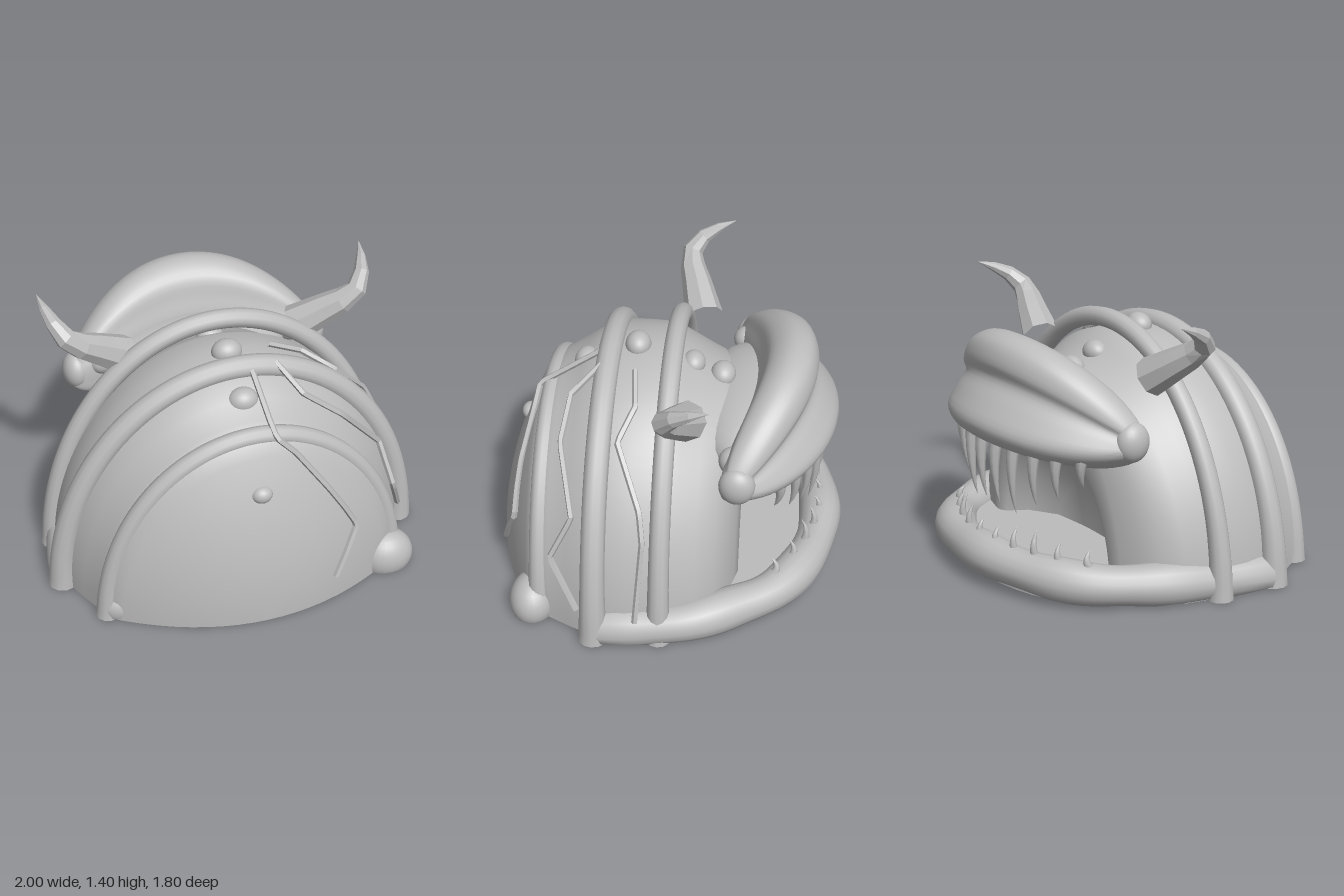
import * as THREE from 'three';
import { toCreasedNormals } from 'three/addons/utils/BufferGeometryUtils.js';

const V = (x, y, z) => new THREE.Vector3(x, y, z);
const vecs = (list) => list.map((p) => V(...p));

// Skin over a list of closed rings with equal point counts
function loft(rings, crease = 1) {
  const n = rings[0].length, pos = [], idx = [];
  rings.forEach((r) => r.forEach((p) => pos.push(p.x, p.y, p.z)));
  for (let i = 0; i < rings.length - 1; i++) {
    for (let j = 0; j < n; j++) {
      const a = i * n + j, b = i * n + (j + 1) % n;
      idx.push(a, a + n, b, b, a + n, b + n);
    }
  }
  const g = new THREE.BufferGeometry();
  g.setAttribute('position', new THREE.Float32BufferAttribute(pos, 3));
  g.setIndex(idx);
  return toCreasedNormals(g, crease);
}

// Tube whose radius follows radius(t); nothing goes below the ground
function taper(curve, radius, segs, sides, crease = 1) {
  const g = new THREE.TubeGeometry(curve, segs, 1, sides);
  const pos = g.attributes.position, v = V();
  for (let k = 0; k < pos.count; k++) {
    const t = Math.floor(k / (sides + 1)) / segs, c = curve.getPointAt(t);
    v.fromBufferAttribute(pos, k).sub(c).multiplyScalar(radius(t)).add(c);
    pos.setXYZ(k, v.x, Math.max(0, v.y), v.z);
  }
  return toCreasedNormals(g, crease);
}

// Ellipsoid cut off at the ground
function blob(x, y, z, rx, ry = rx, rz = rx) {
  const g = new THREE.SphereGeometry(1, 24, 16);
  g.scale(rx, ry, rz).translate(x, y, z);
  const pos = g.attributes.position;
  for (let k = 0; k < pos.count; k++) pos.setY(k, Math.max(0, pos.getY(k)));
  return g;
}

export function createModel() {
  const skin = new THREE.MeshStandardMaterial({ color: 0xbcbcbc });
  skin.name = 'grey skin';
  const model = new THREE.Group();
  model.name = 'hornedCreature';
  const add = (name, geo) => {
    const m = new THREE.Mesh(geo, skin);
    m.name = name;
    model.add(m);
  };

  // Domed body: half-ellipse sections [z, half width, height], ending in a hollow throat
  const sections = [];
  for (let i = 0; i <= 10; i++) {
    const s = i / 10;
    sections.push([0.9 - 0.26 * s * s, 0.78 * s, 0.97 * s]);
  }
  sections.push(
    [0.56, 0.8, 1.0], [0.46, 0.85, 1.07], [0.37, 0.89, 1.13], [0.28, 0.92, 1.16], [0.15, 0.92, 1.16],
    [0.02, 0.9, 1.16], [-0.08, 0.87, 1.1], [-0.18, 0.84, 1.04], [-0.27, 0.77, 1.01],
    [-0.33, 0.67, 0.98], [-0.365, 0.56, 0.86], [-0.38, 0.5, 0.7], [-0.36, 0.46, 0.64],
    [-0.26, 0.4, 0.55], [-0.17, 0.25, 0.35], [-0.15, 0, 0]);
  add('body', loft(sections.map(([z, w, h]) => {
    const ring = [];
    for (let j = 0; j <= 48; j++) {
      const a = Math.PI * j / 48;
      ring.push(V(w * Math.cos(a), Math.max(0, h * Math.sin(a)), z));
    }
    return ring;
  })));

  // Arched ribs with thicker feet
  [[0.61, 0.76, 0.95, 0.048], [0.315, 0.925, 1.155, 0.06], [-0.01, 0.9, 1.23, 0.05]].forEach(([z, w, h, r]) => {
    const pts = [];
    for (let j = 0; j <= 24; j++) {
      const a = Math.PI * j / 24;
      pts.push(V(w * Math.cos(a), h * Math.sin(a), z));
    }
    add('rib', taper(new THREE.CatmullRomCurve3(pts), (t) => r + 0.015 * Math.abs(2 * t - 1) ** 8, 64, 12));
  });

  // Swollen feet of the rear rib
  add('leftFootSwelling', blob(0.72, 0.05, 0.65, 0.15, 0.14, 0.12));
  add('rightFootSwelling', blob(-0.7, 0.05, 0.61, 0.1, 0.1, 0.08));

  // Knobs along the spine
  [[1.01, -0.25, 0.065], [1.07, -0.1, 0.06], [1.165, 0.18, 0.065], [1.05, 0.44, 0.065], [0.7, 0.75, 0.045]]
    .forEach(([y, z, r]) => add('spineKnob', blob(0, y, z, r * 1.2, r, r)));

  // Head: brow and lip profile [z, y], swept sideways, drooping and shrinking to the ends
  const profile = new THREE.CatmullRomCurve3(vecs([
    [0, 0.98, -0.42], [0, 1.08, -0.45], [0, 1.19, -0.49], [0, 1.25, -0.59], [0, 1.22, -0.69],
    [0, 1.12, -0.73], [0, 1.04, -0.715], [0, 0.95, -0.78], [0, 0.84, -0.845], [0, 0.76, -0.81],
    [0, 0.69, -0.68], [0, 0.65, -0.55], [0, 0.7, -0.43], [0, 0.84, -0.41],
  ]), true).getPoints(56).slice(0, -1);
  const headRings = [];
  for (let i = 0; i <= 40; i++) {
    const t = Math.sin((i / 40 - 0.5) * Math.PI), s = Math.sqrt(1 - t ** 4);
    headRings.push(profile.map((p) => V(0.7 * t,
      0.95 - 0.14 * t * t + (p.y - 0.95) * s * (1 - (p.y > 0.95 ? 0.42 : 0.3) * t * t),
      -0.64 + 0.28 * t * t + (p.z + 0.64) * s * (1 - 0.1 * t * t))));
  }
  add('head', loft(headRings));
  add('neck', blob(0, 0.82, -0.38, 0.5, 0.19, 0.27));
  for (const s of [1, -1]) {
    add('mouthCorner', blob(s * 0.65, 0.82, -0.37, 0.07, 0.1, 0.09));
    add('eye', blob(s * 0.52, 0.87, -0.34, 0.07));
  }

  // Lower jaw running back along the base to the middle rib, and mouth floor
  const jaw = new THREE.CatmullRomCurve3(vecs([
    [0.88, 0.05, 0.32], [0.88, 0.07, 0.1], [0.855, 0.09, -0.13], [0.74, 0.1, -0.36],
    [0.6, 0.11, -0.57], [0.34, 0.13, -0.73], [0, 0.14, -0.785], [-0.33, 0.13, -0.72],
    [-0.57, 0.11, -0.56], [-0.7, 0.1, -0.37], [-0.79, 0.09, -0.16], [-0.85, 0.07, 0.08], [-0.88, 0.05, 0.32]]));
  add('lowerJaw', taper(jaw, (t) => 0.105 + 0.006 * Math.sin(t * 40), 90, 16));
  const floor = new THREE.CylinderGeometry(1, 1, 0.12, 48);
  floor.scale(0.77, 1, 0.64).translate(0, 0.06, -0.13);
  add('mouthFloor', floor);

  // Curved fangs: upper ones hang from the lip, lower ones stand on the jaw
  const fang = (name, x, y, z, len, r) => add(name, taper(new THREE.QuadraticBezierCurve3(
    V(x, y, z), V(x, y + len * 0.5, z - 0.03), V(x * 0.97, y + len, z + 0.015)),
  (t) => r * (1 - t) ** 0.8 + 0.001, 6, 8));
  [[0.06, 0.34], [0.18, 0.37], [0.3, 0.3], [0.41, 0.25], [0.52, 0.17]].forEach(([x, len]) => {
    for (const s of [1, -1]) fang('upperTooth', s * x, 0.76, -0.755 + 0.7 * x * x, -len, 0.034);
  });
  [[0.07, 0.1], [0.2, 0.13], [0.32, 0.14], [0.44, 0.1], [0.57, 0.08]].forEach(([x, len]) => {
    for (const s of [1, -1]) fang('lowerTooth', s * x, 0.2, -0.77 + 0.62 * x * x, len, 0.024);
  });

  // Faceted horns bending up and then towards the face
  for (const s of [1, -1]) {
    const path = new THREE.CatmullRomCurve3(vecs([
      [s * 0.46, 1.05, -0.11], [s * 0.61, 1.15, -0.06], [s * 0.75, 1.25, -0.02],
      [s * 0.81, 1.33, -0.09], [s * 0.85, 1.4, -0.245]]));
    add(s > 0 ? 'leftHorn' : 'rightHorn', taper(path, (t) => 0.1 * (1 - t) ** 0.75 + 0.001, 7, 8, 0.05));
  }

  // Raised veins on the left side
  [
    [[0.07, 1.18, 0.33], [0.09, 1.01, 0.59], [0.1, 0.96, 0.67], [0.19, 0.87, 0.69], [0.35, 0.65, 0.745],
      [0.43, 0.525, 0.76], [0.5, 0.4, 0.768], [0.435, 0.275, 0.815], [0.37, 0.15, 0.85]],
    [[0.2, 1.17, 0.34], [0.3, 1.05, 0.48], [0.5, 0.9, 0.51], [0.74, 0.62, 0.43], [0.79, 0.4, 0.54], [0.89, 0.15, 0.4]],
    [[0.22, 1.16, 0.17], [0.4, 1.07, 0.15], [0.56, 0.97, 0.22], [0.78, 0.72, 0.09], [0.85, 0.58, 0.07], [0.95, 0.15, 0.1]],
  ].forEach((list) => {
    const pts = vecs(list), path = new THREE.CurvePath();
    for (let i = 1; i < pts.length; i++) path.add(new THREE.LineCurve3(pts[i - 1], pts[i]));
    add('vein', taper(path, () => 0.016, 40, 5, 0.3));
  });

  return model;
}
